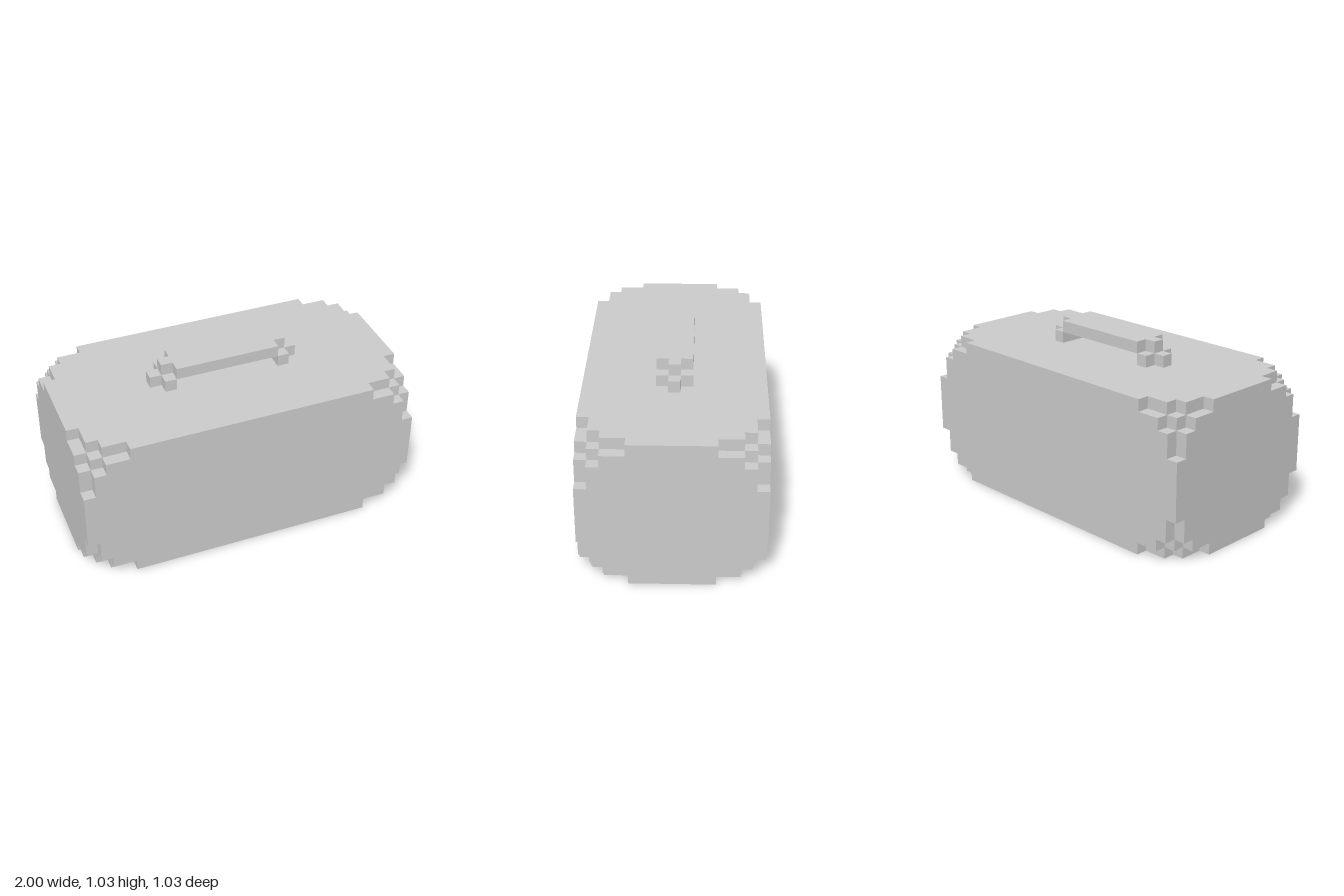
import * as THREE from 'three';

const U = 2 / 29;               // edge of one voxel
const NX = 29, NY = 13, NZ = 15; // body size in voxels
const HX = (NX - 1) / 2, HZ = (NZ - 1) / 2;

// Body: a block whose eight corners are carved in steps
function inBody(x, y, z) {
  const d = [HX - Math.abs(x), Math.min(y, NY - 1 - y), HZ - Math.abs(z)].sort((a, b) => a - b);
  if (d[0] < 0) return false;
  const alongEdge = d[0] === 0 && d[1] === 0 && d[2] < 4;
  const diagonal = d[0] === 0 && d[1] === 1 && d[2] === 1;
  return !alongEdge && !diagonal;
}

// Handle foot: a small plus-shaped block at each end
function inFoot(x, y, z) {
  const ax = Math.abs(x), az = Math.abs(z);
  return y === NY && ((ax === 5 && az <= 1) || (ax === 6 && az === 0));
}

// Handle grip: a three-wide bar with narrower tips, lying on the feet
function inGrip(x, y, z) {
  const ax = Math.abs(x), az = Math.abs(z);
  return y === NY + 1 && ((ax <= 4 && az <= 1) || (ax === 5 && az === 0));
}

const solid = (x, y, z) => inBody(x, y, z) || inFoot(x, y, z) || inGrip(x, y, z);

// Skin of the voxels in a part: one square wherever a voxel meets air
function voxelMesh(name, inside) {
  const pos = [], nor = [], idx = [];
  for (let x = -HX; x <= HX; x++)
    for (let y = 0; y < NY + 2; y++)
      for (let z = -HZ; z <= HZ; z++) {
        if (!inside(x, y, z)) continue;
        for (let axis = 0; axis < 3; axis++)
          for (const s of [-1, 1]) {
            const n = [0, 0, 0];
            n[axis] = s;
            if (solid(x + n[0], y + n[1], z + n[2])) continue;
            const start = pos.length / 3;
            for (const [a, b] of [[-1, -1], [1, -1], [1, 1], [-1, 1]]) {
              const c = [x, y + 0.5, z];
              c[axis] += s / 2;
              c[(axis + 1) % 3] += (a * s) / 2; // mirrored on the negative side to face outward
              c[(axis + 2) % 3] += b / 2;
              pos.push(c[0] * U, c[1] * U, c[2] * U);
              nor.push(...n);
            }
            idx.push(start, start + 1, start + 2, start, start + 2, start + 3);
          }
      }
  const geo = new THREE.BufferGeometry();
  geo.setAttribute('position', new THREE.Float32BufferAttribute(pos, 3));
  geo.setAttribute('normal', new THREE.Float32BufferAttribute(nor, 3));
  geo.setIndex(idx);
  const mesh = new THREE.Mesh(geo, new THREE.MeshStandardMaterial({ color: 0xcccccc, flatShading: true }));
  mesh.name = name;
  return mesh;
}

export function createModel() {
  const model = new THREE.Group();
  model.name = 'voxelCase';

  const handle = new THREE.Group();
  handle.name = 'handle';
  handle.add(
    voxelMesh('leftHandleFoot', (x, y, z) => x > 0 && inFoot(x, y, z)),
    voxelMesh('rightHandleFoot', (x, y, z) => x < 0 && inFoot(x, y, z)),
    voxelMesh('handleGrip', inGrip)
  );

  model.add(voxelMesh('caseBody', inBody), handle);
  return model;
}
